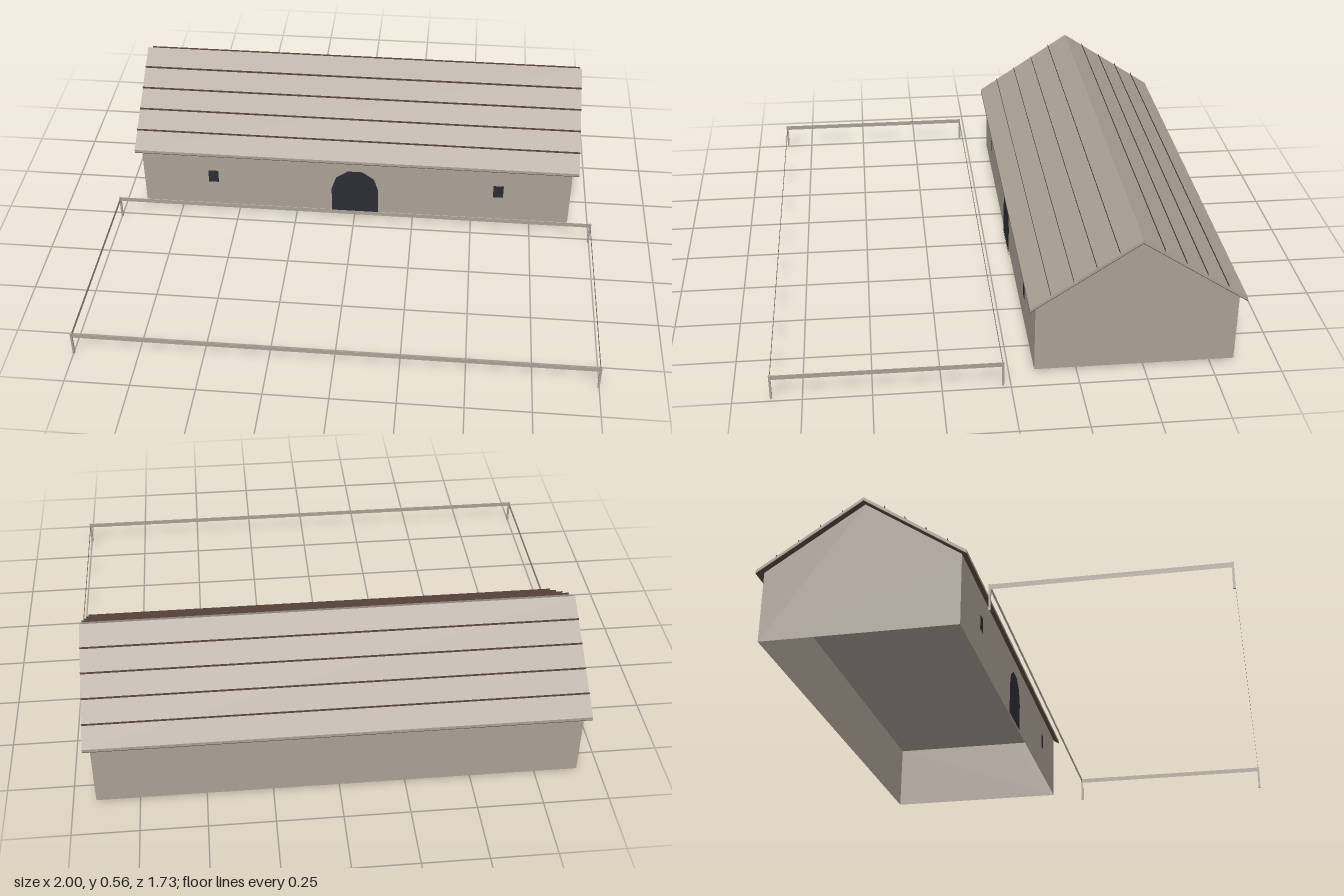
import * as THREE from 'three';

const stone = new THREE.MeshStandardMaterial({ color: 0xaaa095, side: THREE.DoubleSide });
stone.name = 'taupe stone';
const brown = new THREE.MeshStandardMaterial({ color: 0x5e4840, side: THREE.DoubleSide });
brown.name = 'dark brown';
const dark = new THREE.MeshStandardMaterial({ color: 0x2b2b35, side: THREE.DoubleSide });
dark.name = 'dark opening';

const BASE = 0.009, CEILING = 0.283, APEX = 0.543;
const RIDGE_Z = -0.467, HALF_W = 0.913, HALF_D = 0.373;
const ROOF_W = 0.938, ROOF_D = 0.396, PITCH = 0.669, ROOF_T = 0.012;
const FRONT_Z = RIDGE_Z + HALF_D;

function add(parent, name, geometry, material, x = 0, y = 0, z = 0, ry = 0) {
  const mesh = new THREE.Mesh(geometry, material);
  mesh.name = name;
  mesh.position.set(x, y, z);
  mesh.rotation.y = ry;
  parent.add(mesh);
  return mesh;
}

function shapeOf(points) {
  return new THREE.Shape(points.map(([x, y]) => new THREE.Vector2(x, y)));
}

// Upright flat sheet between two heights
function sheet(parent, name, material, width, y0, y1, x, z, ry = 0) {
  return add(parent, name, new THREE.PlaneGeometry(width, y1 - y0), material, x, (y0 + y1) / 2, z, ry);
}

// Hall walls: open underneath, flat ceiling at the eaves
function buildHall() {
  const hall = new THREE.Group();
  hall.name = 'hall';
  const top = APEX - PITCH * HALF_D - 0.004;
  for (const s of [1, -1]) {
    sheet(hall, s > 0 ? 'frontWall' : 'backWall', stone, HALF_W * 2, BASE, top,
      0, RIDGE_Z + s * HALF_D, s > 0 ? 0 : Math.PI);
    const gable = shapeOf([[-HALF_D, BASE], [HALF_D, BASE], [HALF_D, top], [0, APEX - 0.004], [-HALF_D, top]]);
    add(hall, s > 0 ? 'leftGable' : 'rightGable', new THREE.ShapeGeometry(gable), stone,
      s * HALF_W, 0, RIDGE_Z, s * Math.PI / 2);
  }
  const ceiling = add(hall, 'ceiling', new THREE.PlaneGeometry(HALF_W * 2, HALF_D * 2), stone, 0, CEILING, RIDGE_Z);
  ceiling.rotation.x = Math.PI / 2;
  return hall;
}

// One flat roof slope falling towards +z, with thin upright lap strips
function buildSlope(name) {
  const slope = new THREE.Group();
  slope.name = name;
  const line = d => APEX - PITCH * d;
  const prism = (part, low, high, material) => add(slope, part,
    new THREE.ExtrudeGeometry(shapeOf([[0, APEX + low], [ROOF_D, line(ROOF_D) + low],
      [ROOF_D, line(ROOF_D) + high], [0, APEX + high]]), { depth: ROOF_W * 2, bevelEnabled: false }),
    material, ROOF_W, 0, 0, -Math.PI / 2);
  prism('roofSlab', 0, ROOF_T, stone);
  prism('roofUnderside', -0.0025, -0.0003, brown);
  for (let k = 1; k < 5; k++) {
    const d = k * 0.0805, y = line(d) + ROOF_T;
    sheet(slope, 'lapStrip', brown, ROOF_W * 2, y - 0.001, y + 0.009, 0, d);
  }
  slope.position.z = RIDGE_Z;
  return slope;
}

// Arched doorway, threshold and small windows on the front wall
function buildOpenings() {
  const openings = new THREE.Group();
  openings.name = 'openings';
  const arch = [[-0.1, BASE], [0.1, BASE]];
  for (let i = 0; i <= 5; i++) {
    const t = i * Math.PI / 5;
    arch.push([0.1 * Math.cos(t), 0.128 + 0.1 * Math.sin(t)]);
  }
  add(openings, 'door', new THREE.ShapeGeometry(shapeOf(arch)), dark, 0, 0, FRONT_Z + 0.004);
  sheet(openings, 'threshold', stone, 0.21, 0, BASE, 0, FRONT_Z + 0.005);
  for (const s of [1, -1]) {
    sheet(openings, 'window', dark, 0.043, 0.128, 0.188, s * 0.61, FRONT_Z + 0.004);
  }
  return openings;
}

// Rectangular yard fence: corner posts with a single flat rail on each side
function buildFence() {
  const fence = new THREE.Group();
  fence.name = 'fence';
  const z0 = 0.03, z1 = 0.86, x = 0.996, mid = (z0 + z1) / 2;
  for (const s of [1, -1]) {
    for (const z of [z0, z1]) {
      add(fence, 'fencePost', new THREE.BoxGeometry(0.008, 0.1, 0.008), stone, s * x, BASE + 0.05, z);
    }
    sheet(fence, 'sideRail', stone, z1 - z0, 0.09, 0.109, s * x, mid, s * Math.PI / 2);
  }
  sheet(fence, 'backRail', stone, x * 2, 0.09, 0.109, 0, z0, Math.PI);
  sheet(fence, 'frontRail', stone, x * 2, 0.09, 0.109, 0, z1);
  return fence;
}

export function createModel() {
  const model = new THREE.Group();
  model.name = 'longHallWithYard';
  const backSlope = buildSlope('backRoof');
  backSlope.rotation.y = Math.PI;
  model.add(buildHall(), buildSlope('frontRoof'), backSlope, buildOpenings(), buildFence());
  return model;
}
